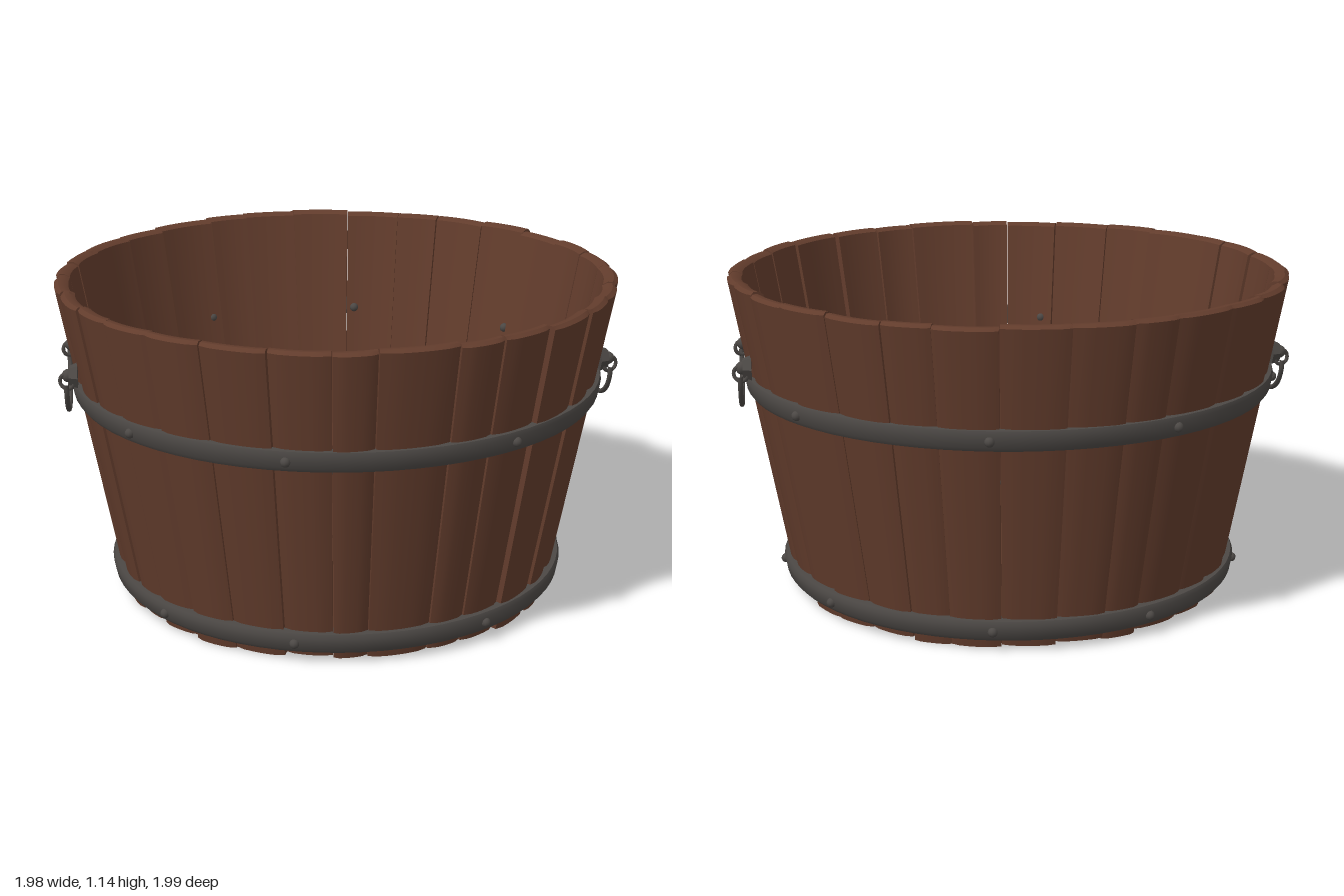
import * as THREE from 'three';
import { toCreasedNormals } from 'three/addons/utils/BufferGeometryUtils.js';

const wood = new THREE.MeshStandardMaterial({ color: 0x623c2c });
wood.name = 'brown wood';
const iron = new THREE.MeshStandardMaterial({ color: 0x4c4845 });
iron.name = 'dark iron';

const HEIGHT = 1.14;
const wallRadius = (y) => 0.786 + 0.185 * y; // outer face of the tapering wall
const WALL = 0.05;

let seed = 7;
const rand = () => {
  seed = (seed * 16807) % 2147483647;
  return seed / 2147483647;
};
const jitter = (amount) => (rand() * 2 - 1) * amount;

function add(parent, name, geometry, material) {
  const mesh = new THREE.Mesh(geometry, material);
  mesh.name = name;
  parent.add(mesh);
  return mesh;
}

// A box bent round the wall, with soft edges, a slight twist and uneven ends
function staveGeometry(a0, a1) {
  const geo = new THREE.BoxGeometry(1, 1, 1, 6, 4, 3);
  const pos = geo.attributes.position;
  const shift = jitter(0.004), tilt = jitter(0.009), bow = 0.002 + rand() * 0.005;
  const bottom = rand() * 0.016, top = HEIGHT - rand() * 0.008;
  const lean = jitter(0.006);
  for (let i = 0; i < pos.count; i++) {
    const u = pos.getX(i) * 2, v = pos.getY(i) + 0.5, w = pos.getZ(i);
    const corner = Math.abs(w) > 0.4;
    let y = bottom + v * (top - bottom);
    if (v > 0.99 && corner) y -= 0.01;
    const angle = a0 + (a1 - a0) * (u + 1) / 2 + lean * (v - 0.5) * (1 - Math.abs(u));
    let r = wallRadius(y) - 0.004 + (w - 0.5) * WALL + shift + tilt * u - bow * u * u;
    if (Math.abs(u) > 0.99 && w > 0.4) r -= 0.006;
    pos.setXYZ(i, r * Math.sin(angle), y, r * Math.cos(angle));
  }
  return toCreasedNormals(geo, 0.5);
}

function addStaves(group) {
  const count = 30, step = Math.PI * 2 / count, gap = 0.0015;
  const seams = Array.from({ length: count }, (_, i) => i * step + 0.06 + jitter(step * 0.16));
  for (let i = 0; i < count; i++) {
    const end = i + 1 < count ? seams[i + 1] : seams[0] + Math.PI * 2;
    add(group, 'stave', staveGeometry(seams[i] + gap, end - gap), wood);
  }
}

// Floor boards run front to back, each trimmed to the round
function addFloor(group) {
  const R = 0.752;
  const seams = [-R, -0.56, -0.4, -0.24, -0.005, 0.23, 0.38, 0.57, R];
  for (let i = 0; i < seams.length - 1; i++) {
    const x0 = seams[i] + 0.0015, x1 = seams[i + 1] - 0.0015;
    const edge = [];
    for (let k = 0; k <= 12; k++) {
      const x = x0 + (x1 - x0) * k / 12;
      edge.push(new THREE.Vector2(x, Math.sqrt(R * R - x * x)));
    }
    const mirrored = edge.map((p) => new THREE.Vector2(p.x, -p.y));
    const shape = new THREE.Shape([...mirrored, ...edge.reverse()]);
    const geo = new THREE.ExtrudeGeometry(shape, { depth: 0.05, bevelEnabled: false });
    geo.rotateX(-Math.PI / 2).translate(0, 0.035, 0);
    add(group, 'floorBoard', geo, wood);
  }
}

// Hoop with a gently rounded outer face
function hoopGeometry(y, half, out) {
  const r = wallRadius(y), slope = 0.185 * half;
  const profile = [
    [r - 0.02, -half], [r - slope + out * 0.55, -half], [r - slope * 0.6 + out, -half * 0.6],
    [r + slope * 0.6 + out, half * 0.6], [r + slope + out * 0.55, half], [r - 0.02, half],
    [r - 0.02, -half],
  ].map(([x, dy]) => new THREE.Vector2(x, y + dy));
  return toCreasedNormals(new THREE.LatheGeometry(profile, 72), 0.7);
}

function addHoops(group) {
  const rivetAngles = [32, 90, 125, 169, 208, 256, 308, 344];
  for (const [name, y, half, out] of [['upperHoop', 0.76, 0.035, 0.016], ['lowerHoop', 0.073, 0.036, 0.022]]) {
    add(group, name, hoopGeometry(y, half, out), iron);
    for (const degrees of rivetAngles) {
      const a = degrees * Math.PI / 180;
      const radii = [wallRadius(y) + out];
      if (name === 'upperHoop') radii.push(wallRadius(y) - WALL - 0.004);
      for (const r of radii) {
        const rivet = add(group, 'rivet', new THREE.SphereGeometry(0.017, 10, 8), iron);
        rivet.position.set(r * Math.sin(a), y, r * Math.cos(a));
      }
    }
  }
  // Thin ring holding the floor boards
  const ring = new THREE.TorusGeometry(0.744, 0.012, 8, 72);
  ring.rotateX(Math.PI / 2).translate(0, 0.088, 0);
  add(group, 'floorRing', ring, iron);
}

// Drop handle hung between two bolts
function createHandle() {
  const handle = new THREE.Group();
  handle.name = 'handle';
  for (const side of [-1, 1]) {
    const z = side * 0.187, y = 0.84;
    const plate = add(handle, 'boltPlate', new THREE.CylinderGeometry(0.034, 0.046, 0.03, 6).toNonIndexed(), iron);
    plate.geometry.computeVertexNormals();
    plate.rotation.z = -Math.PI / 2;
    plate.position.set(0.933, y, z);
    const bolt = add(handle, 'boltHead', new THREE.SphereGeometry(0.023, 12, 8), iron);
    bolt.position.set(0.95, y, z);
    const eye = add(handle, 'eyeRing', new THREE.TorusGeometry(0.026, 0.007, 6, 16), iron);
    eye.position.set(0.955, y - 0.018, z + side * 0.012);
    eye.rotation.y = side * 0.35;
  }
  const points = [];
  for (let i = 0; i <= 12; i++) {
    const t = Math.PI * i / 12;
    points.push(new THREE.Vector3(0.957, 0.815 - 0.145 * Math.sin(t), 0.208 * Math.cos(t)));
  }
  const curve = new THREE.CatmullRomCurve3(points);
  add(handle, 'bail', new THREE.TubeGeometry(curve, 40, 0.009, 8), iron);
  return handle;
}

export function createModel() {
  const tub = new THREE.Group();
  tub.name = 'woodenTub';
  addStaves(tub);
  addFloor(tub);
  addHoops(tub);
  const left = createHandle();
  const right = createHandle();
  right.rotation.y = Math.PI;
  tub.add(left, right);
  return tub;
}
